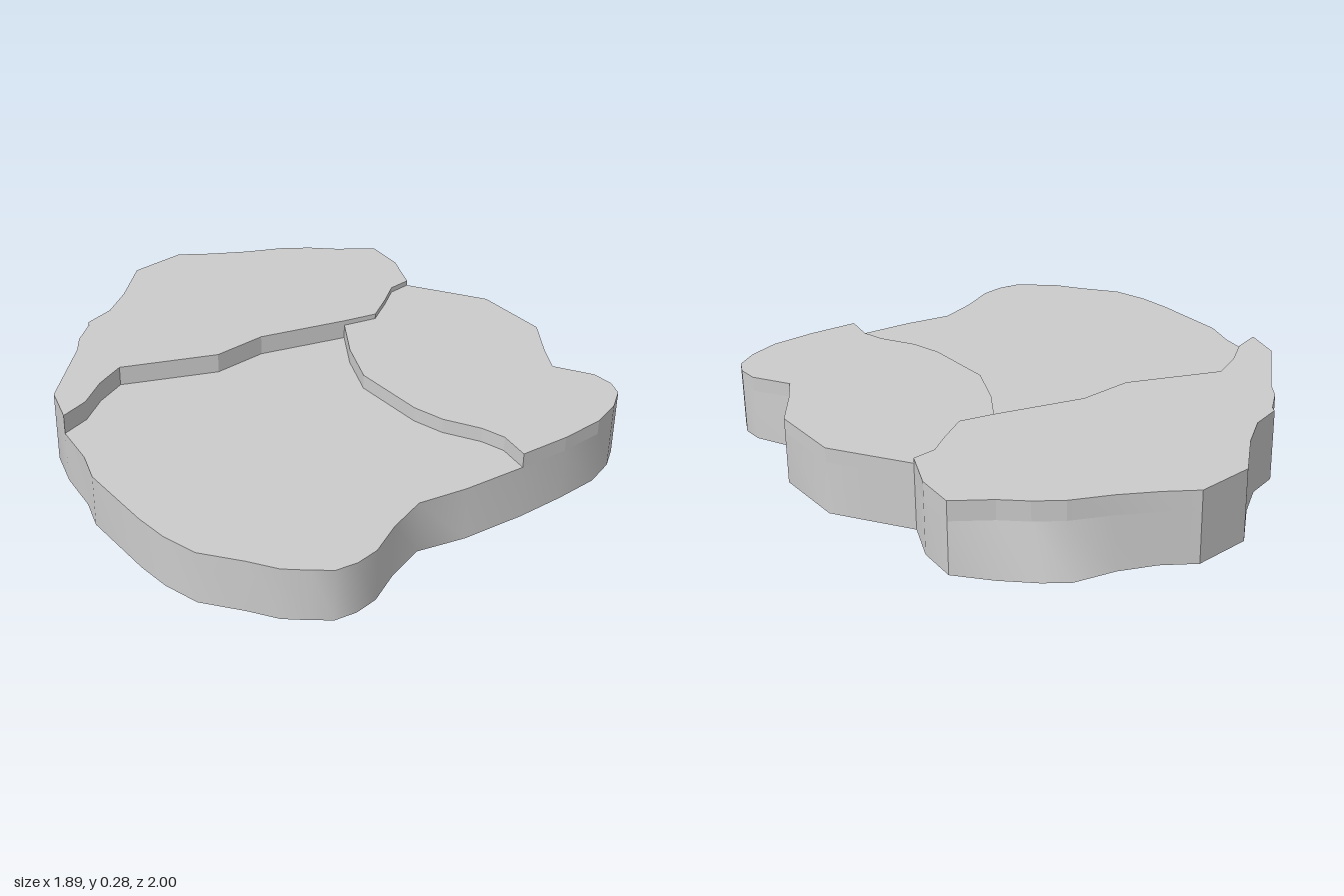
import * as THREE from 'three';
import { toCreasedNormals } from 'three/addons/utils/BufferGeometryUtils.js';

const LOW = 0.2, MID = 0.255, HIGH = 0.275;

// Outline stretches, clockwise from above: [x, z] or [x, z, footX, footZ] where the wall leans
const backEdge = [
  [-0.86, -0.22], [-0.81, -0.365], [-0.57, -0.585], [-0.52, -0.65], [-0.43, -0.72], [-0.42, -0.74],
  [-0.3, -0.77], [-0.18, -0.85], [-0.02, -0.99], [0.2, -1], [0.31, -0.92], [0.44, -0.84, 0.44, -0.86],
  [0.58, -0.77, 0.6, -0.82], [0.67, -0.7, 0.68, -0.755], [0.75, -0.62, 0.78, -0.65],
  [0.875, -0.525], [0.855, -0.37], [0.78, -0.215],
];
const rightEdge = [
  [0.78, -0.215], [0.88, -0.04], [0.945, 0.075], [0.93, 0.365], [0.82, 0.51, 0.84, 0.5],
  [0.755, 0.61, 0.78, 0.63], [0.83, 0.75], [0.83, 0.83], [0.8, 0.89], [0.72, 0.94],
  [0.6, 0.975], [0.43, 0.975], [0.24, 0.955, 0.24, 0.965],
];
const leftEdge = [
  [0.24, 0.955, 0.24, 0.965], [0, 0.925, 0, 0.935], [-0.18, 0.885], [-0.33, 0.93], [-0.46, 0.99],
  [-0.55, 1], [-0.63, 0.985], [-0.69, 0.935], [-0.76, 0.87], [-0.82, 0.77], [-0.915, 0.635],
  [-0.945, 0.5], [-0.95, 0.37], [-0.935, 0.07], [-0.89, -0.05], [-0.86, -0.22],
];
// Inner step lines, meeting at one junction
const ridgeLeft = [[-0.86, -0.22], [-0.75, -0.25], [-0.64, -0.325], [-0.52, -0.375], [-0.18, -0.22], [0.03, -0.225], [0.36, -0.12]];
const ridgeRight = [[0.36, -0.12], [0.49, -0.085], [0.6, -0.15], [0.69, -0.21], [0.78, -0.215]];
const seam = [[0.36, -0.12], [0.25, 0.04], [0.165, 0.215], [0.155, 0.5], [0.18, 0.62], [0.245, 0.75], [0.265, 0.84], [0.24, 0.955]];

const reversed = (path) => [...path].reverse();

// Ribbon of quads along a path, facing left of travel
function wall(path, y0, y1, crease) {
  const pos = [], index = [];
  path.forEach(([x, z, footX = x, footZ = z], i) => {
    pos.push(y0 === 0 ? footX : x, y0, y0 === 0 ? footZ : z, x, y1, z);
    if (i > 0) {
      const a = 2 * i - 2, b = 2 * i;
      index.push(a, a + 1, b + 1, a, b + 1, b);
    }
  });
  const geo = new THREE.BufferGeometry();
  geo.setAttribute('position', new THREE.Float32BufferAttribute(pos, 3));
  geo.setIndex(index);
  return toCreasedNormals(geo, crease);
}

// Flat slab face filling a closed outline
function plate(points, y) {
  const shape = new THREE.Shape(points.map(([x, z]) => new THREE.Vector2(x, -z)));
  return new THREE.ShapeGeometry(shape).rotateX(-Math.PI / 2).translate(0, y, 0);
}

export function createModel() {
  const group = new THREE.Group();
  const material = new THREE.MeshStandardMaterial({ color: 0xcccccc, side: THREE.DoubleSide });
  const add = (name, geometry) => {
    const mesh = new THREE.Mesh(geometry, material);
    mesh.name = name;
    group.add(mesh);
  };

  // Outer skirt, open underneath
  const outline = [...backEdge, ...rightEdge.slice(1), ...leftEdge.slice(1)];
  add('outerWall', wall(outline, 0, LOW, 0.6));
  add('backRim', wall(backEdge, LOW, HIGH, 0.1));
  add('rightRim', wall(rightEdge, LOW, MID, 0.1));

  // Three rock plates at different heights
  add('backPlate', plate([...backEdge, ...reversed(ridgeRight).slice(1), ...reversed(ridgeLeft).slice(1, -1)], HIGH));
  add('rightPlate', plate([...rightEdge, ...reversed(seam).slice(1), ...ridgeRight.slice(1, -1)], MID));
  add('leftPlate', plate([...leftEdge, ...ridgeLeft.slice(1), ...seam.slice(1, -1)], LOW));

  // Steps between the plates
  add('backLeftStep', wall(reversed(ridgeLeft), LOW, HIGH, 0.1));
  add('backRightStep', wall(reversed(ridgeRight), MID, HIGH, 0.1));
  add('middleStep', wall(reversed(seam), LOW, MID, 0.1));

  return group;
}
